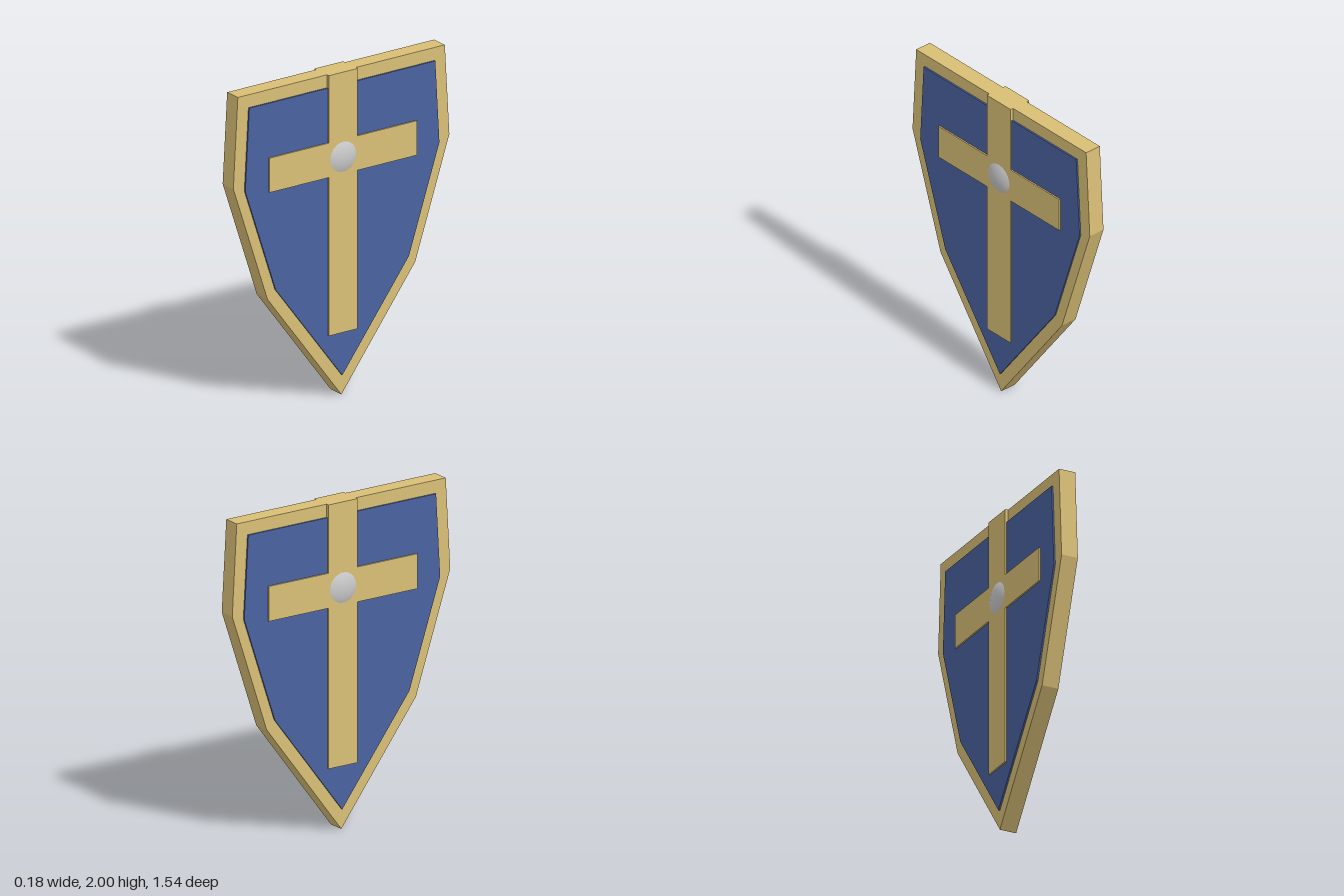
import * as THREE from 'three';

const gold = new THREE.MeshStandardMaterial({ color: 0xd9bf76, flatShading: true });
const blue = new THREE.MeshStandardMaterial({ color: 0x4a629f, flatShading: true });
const grey = new THREE.MeshStandardMaterial({ color: 0xcccccc });

// Symmetric slab: half-outline of [z, y] points from top to bottom, centred across x
function slab(name, half, halfThickness, material) {
  const mirrored = half.filter(([z]) => z > 0).map(([z, y]) => [-z, y]);
  const outline = [...mirrored, ...half.slice().reverse()];
  const shape = new THREE.Shape(outline.map(([z, y]) => new THREE.Vector2(z, y)));
  const geometry = new THREE.ExtrudeGeometry(shape, { depth: 2 * halfThickness, bevelEnabled: false });
  geometry.translate(0, 0, -halfThickness);
  geometry.rotateY(Math.PI / 2);
  const mesh = new THREE.Mesh(geometry, material);
  mesh.name = name;
  return mesh;
}

export function createModel() {
  const shield = new THREE.Group();
  shield.name = 'shield';

  // Body with its border, raised field on both faces, and raised cross
  shield.add(
    slab('body', [[0.738, 2], [0.77, 1.44], [0.527, 0.705], [0, 0]], 0.053, gold),
    slab('field', [[0.663, 1.92], [0.692, 1.41], [0.475, 0.755], [0, 0.122]], 0.063, blue),
    slab('cross', [
      [0.103, 2], [0.103, 1.583], [0.525, 1.583], [0.525, 1.37], [0.103, 1.37], [0.103, 0.39],
    ], 0.072, gold),
  );

  // Domed boss showing on both faces
  const boss = new THREE.Mesh(new THREE.SphereGeometry(1, 48, 32), grey);
  boss.name = 'boss';
  boss.scale.set(0.09, 0.154, 0.154);
  boss.position.y = 1.477;
  shield.add(boss);

  return shield;
}
